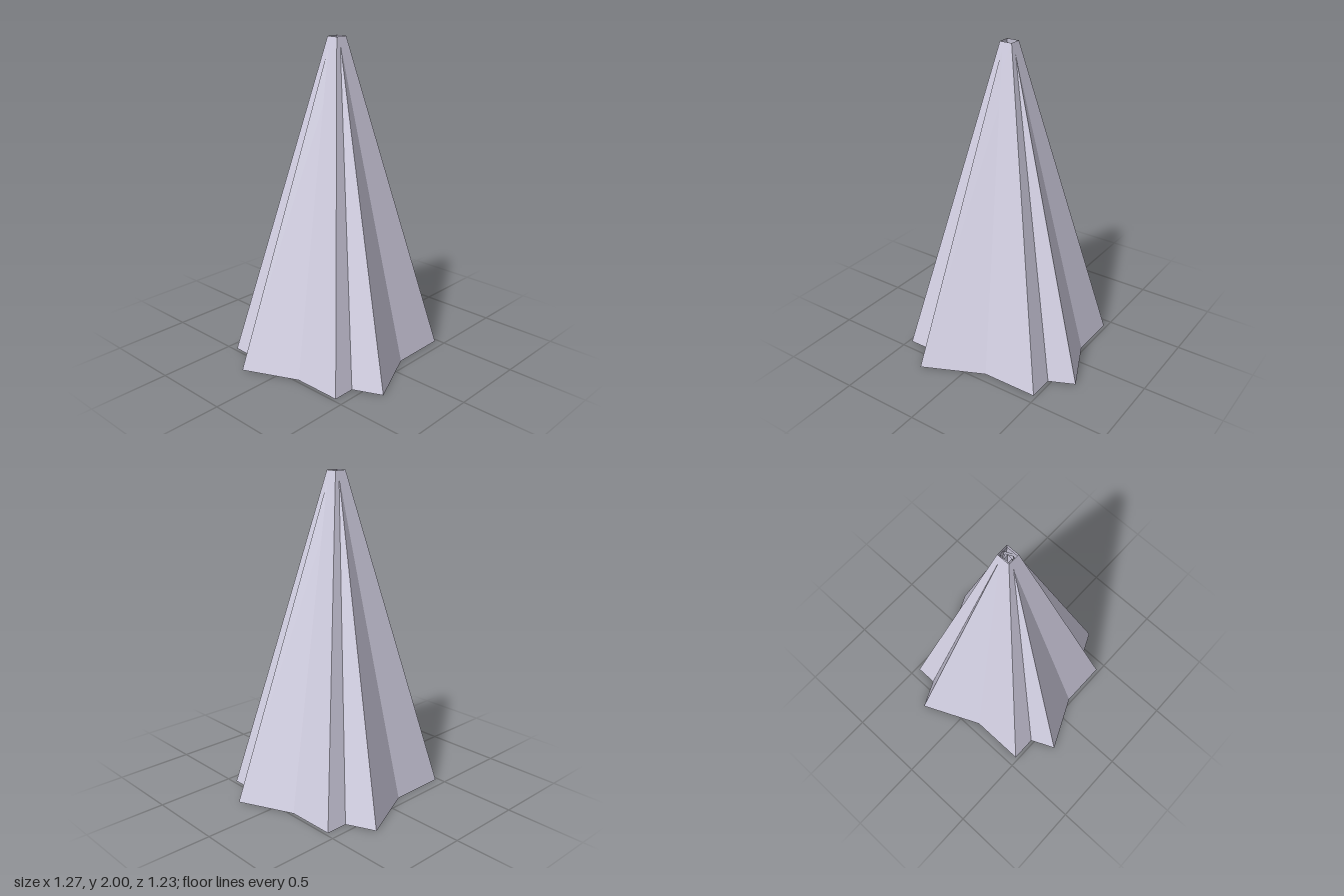
import * as THREE from 'three';

const HALF_X = 0.48, HALF_Z = 0.44;   // base half-sizes of the outer shell
const TOP_RATIO = 0.083;              // mouth size relative to the base
const TURN = THREE.MathUtils.degToRad(24.6);

// Thin four-sided tapering shell, open at the top and bottom.
// scale is relative to the outer footprint.
function taperedShell(scale, height, turn) {
  const radius = scale * Math.SQRT2;
  const tube = new THREE.CylinderGeometry(radius * TOP_RATIO, radius, height, 4, 1, true);
  tube.rotateY(Math.PI / 4);
  tube.scale(HALF_X, 1, HALF_Z);
  tube.rotateY(turn);
  tube.translate(0, height / 2, 0);
  const geometry = tube.toNonIndexed();
  geometry.computeVertexNormals();
  return geometry;
}

export function createModel() {
  const group = new THREE.Group();
  const lilac = new THREE.MeshStandardMaterial({ color: 0xd4d1e4, flatShading: true, side: THREE.DoubleSide });
  lilac.name = 'pale lilac';

  // Nested shells, square to the axes or turned: scale, height, turn
  const shells = {
    outerShell: [1, 2, 0],
    outerLining: [0.93, 1.98, 0],
    turnedOuterShell: [1.025, 1.94, TURN],
    turnedInnerShell: [0.6, 1.95, TURN],
    innerShell: [0.39, 1.95, 0],
  };
  for (const [name, spec] of Object.entries(shells)) {
    const mesh = new THREE.Mesh(taperedShell(...spec), lilac);
    mesh.name = name;
    group.add(mesh);
  }
  return group;
}
